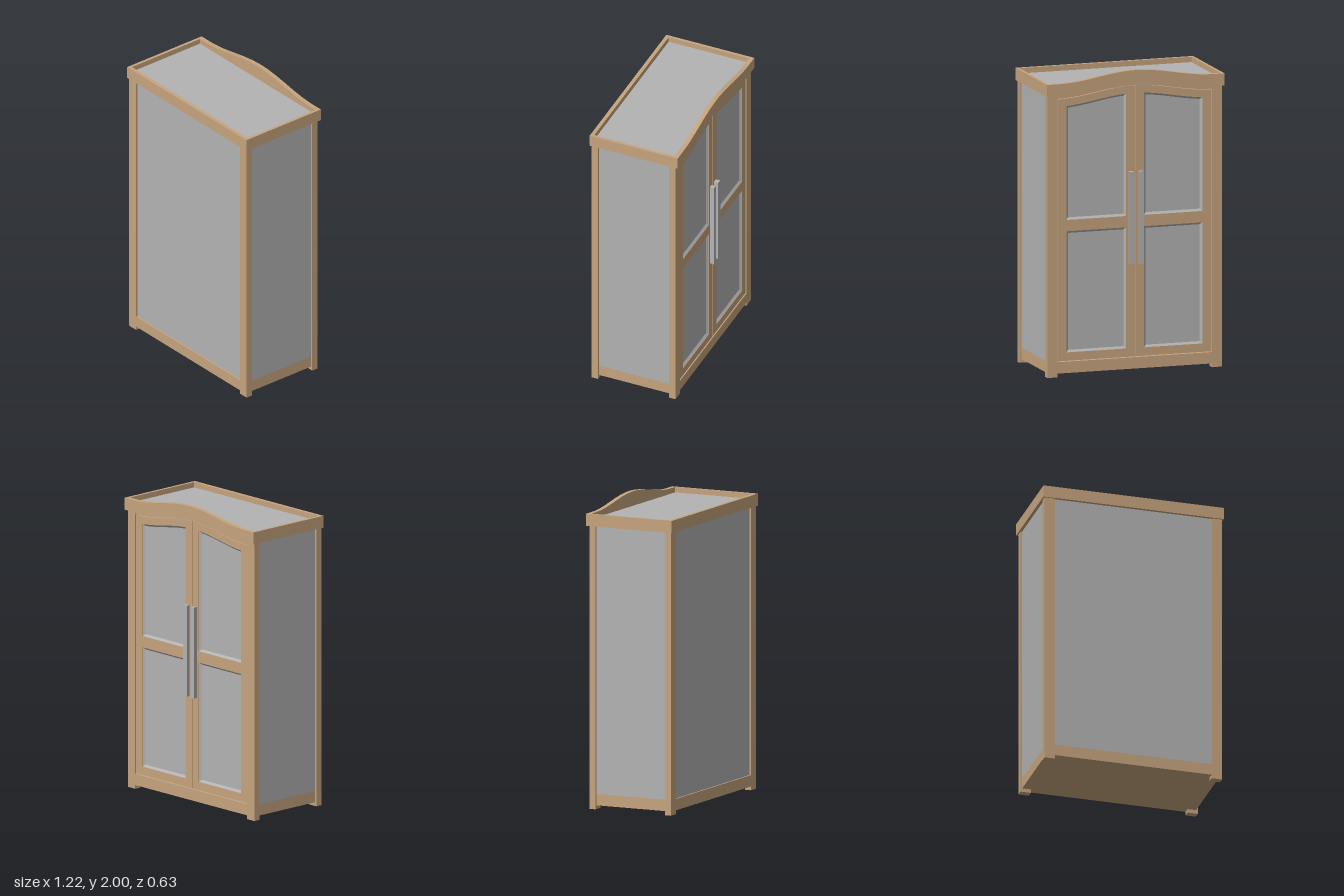
import * as THREE from 'three';

const wood = new THREE.MeshStandardMaterial({ color: 0xc6a47e });
wood.name = 'wood';
const grey = new THREE.MeshStandardMaterial({ color: 0xb3b3b3, side: THREE.DoubleSide });
grey.name = 'grey panel';

// Height of the crest above a straight top edge
const arch = (x) => (Math.abs(x) < 0.53 ? 0.03 * (1 + Math.cos((Math.PI * x) / 0.53)) : 0);

// Points along a horizontal edge, optionally following the crest
function edge(x0, x1, y, arched, n = 28) {
  return Array.from({ length: n + 1 }, (_, i) => {
    const x = x0 + ((x1 - x0) * i) / n;
    return new THREE.Vector2(x, y + (arched ? arch(x) : 0));
  });
}

// Closed counter-clockwise outline
const outline = (x0, x1, y0, y1, archTop, archBottom = false) =>
  [...edge(x0, x1, y0, archBottom), ...edge(x1, x0, y1, archTop)];

export function createModel() {
  const group = new THREE.Group();

  function add(name, geometry, material) {
    const mesh = new THREE.Mesh(geometry, material);
    mesh.name = name;
    group.add(mesh);
    return mesh;
  }

  // Box given by its extents
  function box(name, x0, x1, y0, y1, z0, z1, material = wood) {
    const g = new THREE.BoxGeometry(x1 - x0, y1 - y0, z1 - z0);
    g.translate((x0 + x1) / 2, (y0 + y1) / 2, (z0 + z1) / 2);
    return add(name, g, material);
  }

  // Board cut from an outline, between two depths
  function board(name, points, z0, z1, holes = []) {
    const shape = new THREE.Shape(points);
    shape.holes = holes.map((h) => new THREE.Path(h.slice().reverse()));
    const g = new THREE.ExtrudeGeometry(shape, { depth: z1 - z0, bevelEnabled: false });
    g.translate(0, 0, z0);
    return add(name, g, wood);
  }

  // Carcass, corner posts and rails
  box('carcass', -0.585, 0.585, 0.025, 1.89, -0.262, 0.29);
  for (const s of [-1, 1]) {
    const a = s < 0 ? -0.6 : 0.53;
    box('plainPost', a, a + 0.07, 0, 1.9, 0.26, 0.305);
    box('doorSidePost', a, a + 0.07, 0, 1.9, -0.29, -0.245);
    const p = s < 0 ? -0.588 : 0.58;
    box('sidePanel', p, p + 0.008, 0.1, 1.88, -0.245, 0.26, grey);
    box('sideRail', p, p + 0.008, 0.025, 0.1, -0.245, 0.26);
  }
  box('plainPanel', -0.53, 0.53, 0.1, 1.88, 0.288, 0.295, grey);
  box('plainBottomRail', -0.53, 0.53, 0.025, 0.1, 0.28, 0.305);
  box('doorSideBottomRail', -0.53, 0.53, 0.025, 0.1, -0.29, -0.25);
  board('archedTopRail', outline(-0.53, 0.53, 1.84, 1.89, true, true), -0.289, -0.281);

  // Cornice with a crest above the doors and a sunken top
  for (const s of [-1, 1]) {
    const a = s < 0 ? -0.61 : 0.59;
    box('sideCornice', a, a + 0.02, 1.86, 1.94, -0.28, 0.315);
  }
  box('plainCornice', -0.59, 0.59, 1.86, 1.94, 0.29, 0.315);
  board('crestCornice', outline(-0.61, 0.61, 1.86, 1.94, true, true), -0.31, -0.28);
  box('topPanel', -0.59, 0.59, 1.885, 1.905, -0.28, 0.29, grey);

  // Recessed panel with a sloping border
  function panel(x0, x1, y0, y1, arched) {
    const d = 0.014, zOut = -0.282, zIn = -0.27;
    const outer = outline(x0, x1, y0, y1, arched);
    const inner = outline(x0 + d, x1 - d, y0 + d, y1 - d, arched);
    const pos = [];
    outer.forEach((a, i) => {
      const j = (i + 1) % outer.length;
      const b = outer[j], c = inner[j], e = inner[i];
      pos.push(a.x, a.y, zOut, c.x, c.y, zIn, b.x, b.y, zOut);
      pos.push(a.x, a.y, zOut, e.x, e.y, zIn, c.x, c.y, zIn);
    });
    const border = new THREE.BufferGeometry();
    border.setAttribute('position', new THREE.Float32BufferAttribute(pos, 3));
    border.computeVertexNormals();
    add('doorPanelBorder', border, grey);
    const face = new THREE.ShapeGeometry(new THREE.Shape(inner.map((p) => new THREE.Vector2(-p.x, p.y))));
    face.rotateY(Math.PI);
    face.translate(0, 0, zIn);
    add('doorPanel', face, grey);
  }

  // Two doors, each with a lower and an arched upper panel
  for (const [x0, x1] of [[-0.526, -0.006], [-0.002, 0.526]]) {
    const a = x0 + 0.06, b = x1 - 0.06;
    const lower = [a, b, 0.16, 0.96, false];
    const upper = [a, b, 1.035, 1.785, true];
    board('doorFrame', outline(x0, x1, 0.105, 1.835, true), -0.285, -0.262,
      [outline(...lower), outline(...upper)]);
    panel(...lower);
    panel(...upper);
  }

  // Long upright handles, slightly wider on the outside
  for (const x of [-0.037, 0.03]) {
    const section = [[-0.011, 0.283], [0.011, 0.283], [0.0175, 0.316], [-0.0175, 0.316]];
    const shape = new THREE.Shape(section.map(([u, v]) => new THREE.Vector2(u, v)));
    const g = new THREE.ExtrudeGeometry(shape, { depth: 0.61, bevelEnabled: false });
    g.rotateX(-Math.PI / 2);
    g.translate(x, 0.72, 0);
    add('handle', g, grey);
  }

  return group;
}
